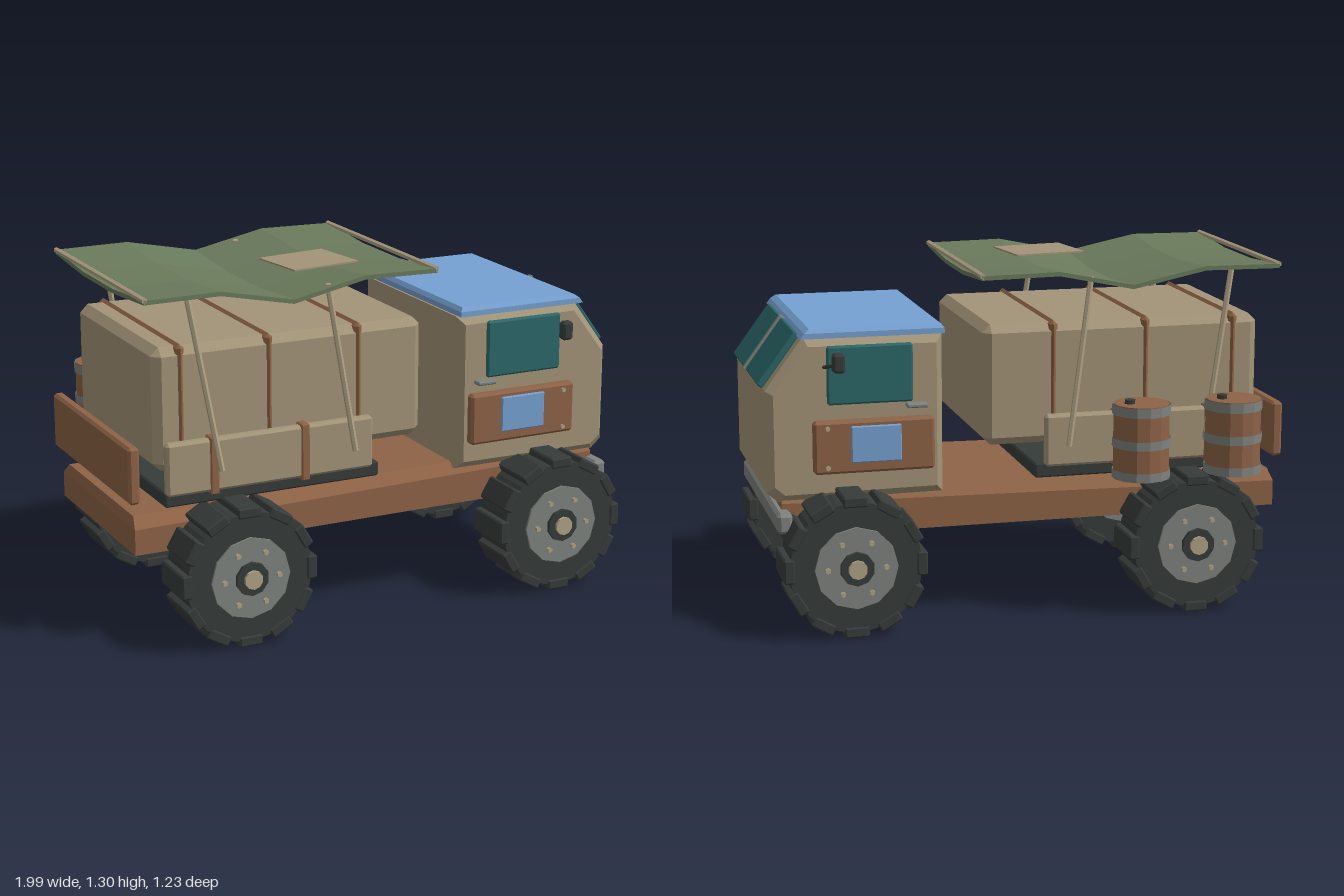
import * as THREE from 'three';
import { ConvexGeometry } from 'three/addons/geometries/ConvexGeometry.js';

const mat = (color) => new THREE.MeshStandardMaterial({ color, flatShading: true, side: THREE.DoubleSide });
const tan = mat(0xa39478), brown = mat(0x8e6346), green = mat(0x6a7a5b), blue = mat(0x76a1d2),
  teal = mat(0x2b6869), dark = mat(0x363c3a), gray = mat(0x7f837e), cream = mat(0xb0a284);
const V = (x, y, z) => new THREE.Vector3(x, y, z);

export function createModel() {
  const model = new THREE.Group();
  model.name = 'truck';
  model.position.z = 0.04;

  const add = (name, geo, material, x = 0, y = 0, z = 0, parent = model) => {
    const m = new THREE.Mesh(geo, material);
    m.name = name;
    m.position.set(x, y, z);
    parent.add(m);
    return m;
  };

  // box with chamfered edges, given by its limits in x, y, z
  const block = (name, material, [x0, x1], [y0, y1], [z0, z1], c = 0.01, parent = model) => {
    const a = (x1 - x0) / 2, b = (y1 - y0) / 2, d = (z1 - z0) / 2, pts = [];
    for (const i of [-1, 1]) for (const j of [-1, 1]) for (const k of [-1, 1]) pts.push(
      V(i * a, j * (b - c), k * (d - c)), V(i * (a - c), j * b, k * (d - c)), V(i * (a - c), j * (b - c), k * d));
    return add(name, new ConvexGeometry(pts), material, (x0 + x1) / 2, (y0 + y1) / 2, (z0 + z1) / 2, parent);
  };

  // round bar between two points
  const bar = (name, material, p, q, r, sides = 6) => {
    const dir = q.clone().sub(p), mid = p.clone().add(q).multiplyScalar(0.5);
    const m = add(name, new THREE.CylinderGeometry(r, r, dir.length(), sides), material, mid.x, mid.y, mid.z);
    m.quaternion.setFromUnitVectors(V(0, 1, 0), dir.normalize());
    return m;
  };

  // z limits of a plate lying on the side s
  const span = (s, a, b) => (s > 0 ? [a, b] : [-b, -a]);

  // chassis
  const hull = [];
  for (const [x, top] of [[-0.97, 0.48], [0.92, 0.51]])
    for (const s of [-1, 1])
      for (const [y, z, inset] of [[0.325, 0.3, 0.02], [0.345, 0.37, 0], [top - 0.04, 0.37, 0], [top, 0.33, 0.01]])
        hull.push(V(x - Math.sign(x) * inset, y, s * z));
  add('chassis', new ConvexGeometry(hull), brown);
  block('frontBumper', gray, [0.89, 0.945], [0.375, 0.45], [-0.445, 0.445], 0.012);
  block('tailBoard', brown, [-0.995, -0.952], [0.54, 0.75], [-0.39, 0.39], 0.01);

  // cab body
  const profile = [[0.32, 0.48], [0.93, 0.475], [0.97, 0.51], [0.97, 0.885], [0.83, 1.075], [0.32, 1.07]];
  const cab = [];
  for (const s of [-1, 1]) for (const [x, y] of profile) {
    cab.push(V(x, y, s * 0.355));
    cab.push(V(0.64 + (x - 0.64) * 0.92, 0.77 + (y - 0.77) * 0.9, s * 0.387));
  }
  add('cabBody', new ConvexGeometry(cab), tan);

  // cab roof
  const roof = [];
  for (const s of [-1, 1]) roof.push(
    V(0.318, 1.075, s * 0.4), V(0.318, 1.095, s * 0.4), V(0.33, 1.11, s * 0.388),
    V(0.81, 1.11, s * 0.388), V(0.83, 1.095, s * 0.4), V(0.845, 1.075, s * 0.4));
  add('cabRoof', new ConvexGeometry(roof), blue);

  // split windscreen
  const screen = new THREE.Group();
  screen.name = 'windscreen';
  screen.position.set(0.911, 0.989, 0);
  screen.rotation.z = 0.635;
  model.add(screen);
  for (const s of [-1, 1]) block('windscreenPane', teal, [-0.012, 0.012], [-0.118, 0.118], span(s, 0.005, 0.315), 0.005, screen);
  block('windscreenDivider', gray, [-0.015, 0.02], [-0.122, 0.122], [-0.012, 0.012], 0.003, screen);

  for (const s of [-1, 1]) {
    // doors, windows and mirrors
    block('sideWindow', teal, [0.435, 0.75], [0.83, 1.045], span(s, 0.37, 0.4), 0.007);
    block('doorPanel', brown, [0.36, 0.805], [0.58, 0.775], span(s, 0.37, 0.42), 0.01);
    block('doorPatch', blue, [0.485, 0.67], [0.62, 0.755], span(s, 0.41, 0.428), 0.004);
    for (const y of [0.605, 0.75])
      add('doorRivet', new THREE.CylinderGeometry(0.009, 0.009, 0.012, 6), cream, 0.755, y, s * 0.423).rotation.x = Math.PI / 2;
    block('doorHandle', gray, [0.385, 0.462], [0.81, 0.825], span(s, 0.375, 0.425), 0.004);
    bar('mirrorArm', dark, V(0.765, 0.965, s * 0.37), V(0.725, 0.99, s * 0.47), 0.007);
    block('mirrorHead', dark, [0.7, 0.745], [0.965, 1.035], span(s, 0.46, 0.5), 0.009);

    // load bed sides
    block('bedSide', tan, [-0.865, -0.055], [0.56, 0.755], span(s, 0.385, 0.425), 0.01);
    for (const x of [-0.685, -0.33]) block('bedStrap', brown, [x - 0.016, x + 0.016], [0.55, 0.762], span(s, 0.38, 0.432), 0.004);

    // canopy poles
    bar('canopyPole', cream, V(-0.665, 0.64, s * 0.445), V(-0.77, 1.268, s * 0.405), 0.011);
    bar('canopyPole', cream, V(-0.138, 0.64, s * 0.445), V(-0.23, 1.262, s * 0.405), 0.011);
  }

  // load bed and cargo
  block('bedFloor', dark, [-0.865, -0.02], [0.515, 0.57], [-0.4, 0.4], 0.006);
  block('cargoBox', tan, [-0.89, 0.168], [0.64, 1.09], [-0.38, 0.38], 0.03);
  for (const x of [-0.79, -0.45, -0.095]) block('cargoStrap', brown, [x - 0.016, x + 0.016], [0.632, 1.1], [-0.388, 0.388], 0.03 * 0.5);

  // canopy: a folded sheet sagging towards its middle
  const fold = [[-0.945, 1.278], [-0.66, 1.28], [-0.38, 1.222], [-0.1, 1.28], [0.19, 1.275]];
  const foldY = (x) => {
    const i = Math.min(3, Math.max(0, fold.findIndex((p) => p[0] >= x) - 1));
    return THREE.MathUtils.mapLinear(x, fold[i][0], fold[i + 1][0], fold[i][1], fold[i + 1][1]);
  };
  const sheet = new THREE.BoxGeometry(1.135, 0.016, 0.89, 4, 1, 3);
  const pos = sheet.attributes.position;
  for (let i = 0; i < pos.count; i++) {
    const col = Math.round((pos.getX(i) / 1.135 + 0.5) * 4), z = pos.getZ(i);
    const sag = Math.abs(z) < 0.3 ? 0.022 : 0;
    pos.setXYZ(i, fold[col][0], fold[col][1] + pos.getY(i) - sag, z);
  }
  add('canopy', sheet, green);
  for (const x of [-0.942, 0.187]) bar('canopyRod', cream, V(x, foldY(x) + 0.007, -0.445), V(x, foldY(x) + 0.007, 0.445), 0.011);
  const patch = add('canopyPatch', new THREE.BoxGeometry(0.275, 0.006, 0.24), tan, -0.175, 1.287, 0.13);
  patch.rotation.y = 0.14;

  // drums on the right side
  for (const x of [-0.74, -0.385]) {
    const drum = new THREE.Group();
    drum.name = 'drum';
    drum.position.set(x, 0, -0.54);
    model.add(drum);
    add('drumBody', new THREE.CylinderGeometry(0.103, 0.103, 0.276, 14), brown, 0, 0.672, 0, drum);
    for (const [y, h] of [[0.79, 0.036], [0.668, 0.033], [0.55, 0.033]])
      add('drumBand', new THREE.CylinderGeometry(0.108, 0.108, h, 14, 1, true), gray, 0, y, 0, drum);
    add('drumCap', new THREE.CylinderGeometry(0.02, 0.02, 0.02, 8), dark, 0.045, 0.815, 0, drum);
  }

  // wheels
  const disc = (name, r, z0, z1, sides, material, parent, x = 0, y = 0) => {
    const m = add(name, new THREE.CylinderGeometry(r, r, z1 - z0, sides), material, x, y, (z0 + z1) / 2, parent);
    m.rotation.x = Math.PI / 2;
  };
  for (const x of [-0.605, 0.68]) for (const s of [-1, 1]) {
    const wheel = new THREE.Group();
    wheel.name = 'wheel';
    wheel.position.set(x, 0.263, s * 0.45);
    if (s < 0) wheel.rotation.y = Math.PI;
    model.add(wheel);
    disc('tyre', 0.242, -0.095, 0.095, 24, dark, wheel);
    for (let i = 0; i < 12; i++) {
      const a = (i / 12) * Math.PI * 2 + Math.PI / 2;
      const lug = block('treadLug', dark, [-0.02, 0.02], [-0.045, 0.045], [-0.1, 0.1], 0.006, wheel);
      lug.position.set(Math.cos(a) * 0.242, Math.sin(a) * 0.242, 0);
      lug.rotation.z = a;
    }
    disc('rim', 0.152, -0.1, 0.104, 12, gray, wheel);
    disc('hub', 0.063, 0.1, 0.118, 10, dark, wheel);
    disc('hubCap', 0.035, 0.11, 0.13, 10, cream, wheel);
    for (let i = 0; i < 6; i++) {
      const a = (i / 6) * Math.PI * 2;
      disc('wheelBolt', 0.01, 0.1, 0.118, 6, cream, wheel, Math.cos(a) * 0.106, Math.sin(a) * 0.106);
    }
  }
  return model;
}
